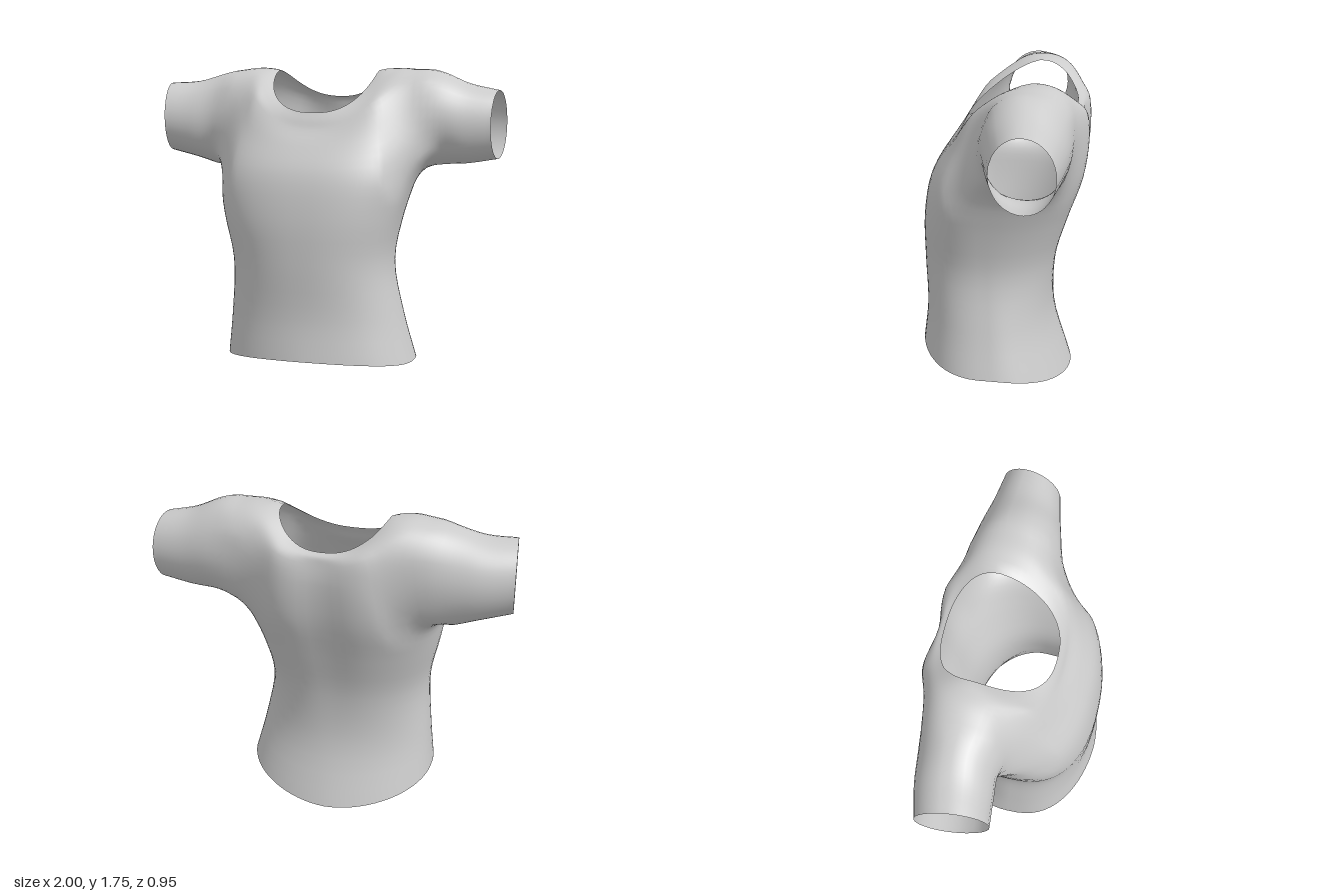
import * as THREE from 'three';

const N = 72;            // points around the body
const SUB = 4;           // rows between two body rings
const HOLE_FRONT = 5;    // armhole reach, in columns, forward and back from the side
const HOLE_BACK = 9;
const ARMPIT = 4, SHOULDER = 6; // rings that bound the armholes

// Body rings from hem to neckline
// size: [right width, left width, side z, front z, back z, side y, front y, back y, spine groove]
// curve: exponents for [width, front depth, back depth, front rise, back rise]; low is square
const RINGS = [
  { size: [0.53, 0.555, 0.04, 0.48, -0.39, 0.12, 0.17, 0.0, 0], curve: [1.1, 0.76, 0.95, 1.5, 1.5] },
  { size: [0.505, 0.485, 0.05, 0.453, -0.285, 0.38, 0.40, 0.36, 0], curve: [0.98, 0.78, 1.0, 1.5, 1.5] },
  { size: [0.49, 0.43, 0.06, 0.46, -0.30, 0.68, 0.70, 0.68, 0.01], curve: [0.88, 0.8, 0.98, 1.5, 1.5] },
  { size: [0.545, 0.475, 0.05, 0.455, -0.38, 0.95, 0.95, 0.95, 0.025], curve: [0.84, 0.74, 0.87, 1.5, 1.5] },
  { size: [0.58, 0.535, 0.02, 0.41, -0.465, 1.17, 1.18, 1.20, 0.04], curve: [0.84, 0.76, 0.76, 1.5, 1.5] },
  { size: [0.53, 0.50, -0.06, 0.32, -0.495, 1.48, 1.33, 1.42, 0.045], curve: [0.85, 0.82, 0.68, 1.7, 1.7] },
  { size: [0.47, 0.46, -0.15, 0.25, -0.48, 1.77, 1.42, 1.53, 0.04], curve: [0.85, 0.82, 0.66, 1.7, 2.0] },
  { size: [0.39, 0.38, -0.16, 0.225, -0.445, 1.76, 1.47, 1.57, 0.015], curve: [0.85, 0.8, 0.7, 1.4, 2.0] },
  { size: [0.315, 0.285, -0.17, 0.20, -0.40, 1.74, 1.51, 1.585, 0], curve: [0.82, 0.8, 0.8, 1.1, 1.9] },
];

// Sleeve sections: [distance from centre, centre y, centre z, half height, half depth, slant]
const LEFT_SLEEVE = [
  [0.65, 1.472, -0.155, 0.263, 0.23, 0],
  [0.81, 1.445, -0.16, 0.224, 0.197, 0.012],
  [0.975, 1.44, -0.165, 0.192, 0.167, 0.025],
];
const RIGHT_SLEEVE = [
  [0.66, 1.445, -0.165, 0.272, 0.212, 0],
  [0.81, 1.448, -0.15, 0.228, 0.204, 0.012],
  [0.975, 1.465, -0.118, 0.2, 0.188, 0.025],
];

const signedPow = (v, p) => Math.sign(v) * Math.pow(Math.abs(v), p);

function ringPoint({ size, curve }, angle) {
  const [wr, wl, zc, zf, zb, ys, yf, yb, groove] = size;
  const [widthPow, frontPow, backPow, frontRise, backRise] = curve;
  const sin = Math.sin(angle), front = sin > 0;
  const c = signedPow(Math.cos(angle), widthPow);
  const depth = Math.pow(Math.abs(sin), front ? frontPow : backPow);
  const rise = Math.pow(Math.abs(sin), front ? frontRise : backRise);
  const x = c * (c > 0 ? wl : wr);
  let z = zc + depth * ((front ? zf : zb) - zc);
  if (!front) z += groove * Math.exp(-((x / 0.15) ** 2)) * depth;
  return new THREE.Vector3(x, ys + rise * ((front ? yf : yb) - ys), z);
}

// Softens the seams: moves points near the armhole edges towards their neighbours
function relaxSeams(positions, indices, seam) {
  const point = (n) => new THREE.Vector3().fromArray(positions, n * 3);
  const neighbours = Array.from({ length: positions.length / 3 }, () => new Set());
  for (let t = 0; t < indices.length; t += 3) {
    for (let e = 0; e < 3; e++) {
      const a = indices[t + e], b = indices[t + ((e + 1) % 3)];
      neighbours[a].add(b);
      neighbours[b].add(a);
    }
  }
  const seamPoints = seam.map(point);
  const near = [];
  neighbours.forEach((_, n) => {
    const p = point(n);
    const distance = Math.min(...seamPoints.map((q) => q.distanceTo(p)));
    if (distance < 0.14) near.push([n, 0.6 * (1 - THREE.MathUtils.smoothstep(distance, 0.04, 0.14))]);
  });
  for (let pass = 0; pass < 12; pass++) {
    const moved = near.map(([n, weight]) => {
      const mean = new THREE.Vector3();
      neighbours[n].forEach((m) => mean.add(point(m)));
      return point(n).lerp(mean.divideScalar(neighbours[n].size), weight);
    });
    near.forEach(([n], k) => moved[k].toArray(positions, n * 3));
  }
}

export function createModel() {
  const positions = [], indices = [];
  const add = (p) => positions.push(p.x, p.y, p.z) / 3 - 1;
  const quad = (a, b, c, d) => indices.push(a, d, c, a, c, b);

  const low = ARMPIT * SUB, high = SHOULDER * SUB;
  const armholes = [
    { from: -HOLE_BACK, to: HOLE_FRONT, side: 1, sections: LEFT_SLEEVE },
    { from: N / 2 - HOLE_FRONT, to: N / 2 + HOLE_BACK, side: -1, sections: RIGHT_SLEEVE },
  ];
  const inHole = (i, j) => j >= low && j < high && armholes.some(
    ({ from, to }) => (i >= from && i < to) || (i - N >= from && i - N < to));
  const insideHole = (i, j) => [[i, j], [i - 1, j], [i, j - 1], [i - 1, j - 1]]
    .every(([a, b]) => inHole(a, b));

  // Body: one smooth column per angle, from hem to neckline
  const rows = (RINGS.length - 1) * SUB;
  const columns = [];
  for (let i = 0; i < N; i++) {
    const angle = (i / N) * Math.PI * 2;
    const curve = new THREE.CatmullRomCurve3(RINGS.map((r) => ringPoint(r, angle)));
    columns.push(Array.from({ length: rows + 1 },
      (_, j) => (insideHole(i, j) ? -1 : add(curve.getPoint(j / rows)))));
  }
  const at = (i, j) => columns[(i + N) % N][j];

  for (let i = 0; i < N; i++) {
    for (let j = 0; j < rows; j++) {
      if (!inHole(i, j)) quad(at(i, j), at(i + 1, j), at(i + 1, j + 1), at(i, j + 1));
    }
  }

  // Sleeves: lofted from each armhole edge to its round cuff
  const STEPS = 15;
  const seam = [];
  for (const { from, to, side, sections } of armholes) {
    const loop = [];
    for (let i = from; i < to; i++) loop.push(at(i, low));
    for (let j = low; j < high; j++) loop.push(at(to, j));
    for (let i = to; i > from; i--) loop.push(at(i, high));
    for (let j = high; j > low; j--) loop.push(at(from, j));
    seam.push(...loop);

    const strands = loop.map((index) => {
      const start = new THREE.Vector3().fromArray(positions, index * 3);
      const phi = Math.atan2((start.y - 1.45) / 0.28, (start.z + 0.14) / 0.25);
      const path = sections.map(([x, cy, cz, ry, rz, slant]) => new THREE.Vector3(
        side * (x - slant * Math.cos(phi)), cy + ry * Math.sin(phi), cz + rz * Math.cos(phi)));
      const curve = new THREE.CatmullRomCurve3([start, ...path]);
      const strand = [index];
      for (let k = 1; k <= STEPS; k++) strand.push(add(curve.getPoint(k / STEPS)));
      return strand;
    });
    strands.forEach((a, n) => {
      const b = strands[(n + 1) % strands.length];
      for (let k = 0; k < STEPS; k++) quad(a[k], b[k], b[k + 1], a[k + 1]);
    });
  }
  relaxSeams(positions, indices, seam);

  const geometry = new THREE.BufferGeometry();
  geometry.setAttribute('position', new THREE.Float32BufferAttribute(positions, 3));
  geometry.setIndex(indices);
  geometry.computeVertexNormals();

  const shirt = new THREE.Mesh(geometry, new THREE.MeshStandardMaterial({
    color: 0xcccccc, side: THREE.DoubleSide,
  }));
  shirt.name = 'shirt';
  const group = new THREE.Group();
  group.name = 'shortSleevedShirt';
  group.add(shirt);
  return group;
}
